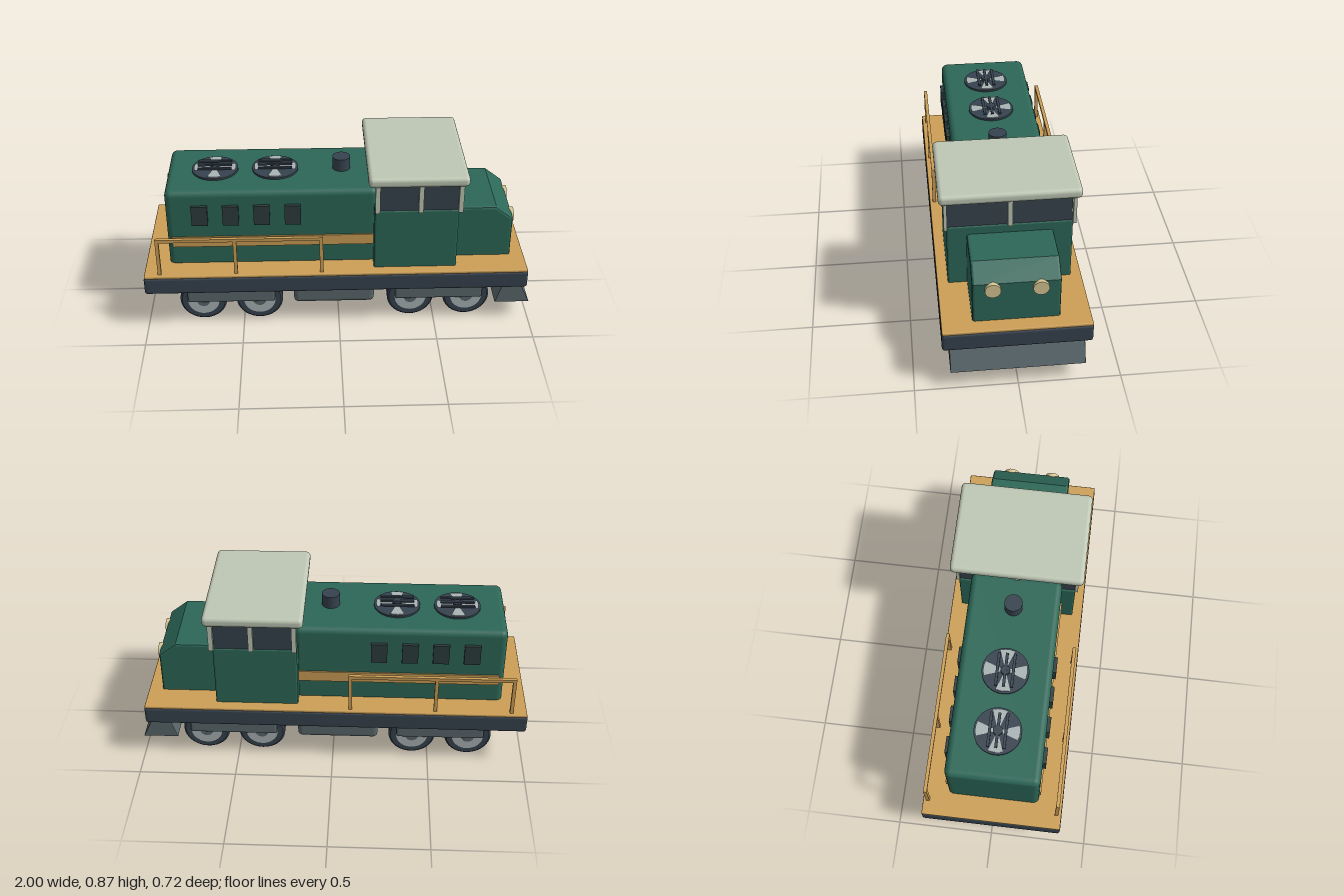
import * as THREE from 'three';
import { RoundedBoxGeometry } from 'three/addons/geometries/RoundedBoxGeometry.js';

const mat = (name, color) => {
  const m = new THREE.MeshStandardMaterial({ color });
  m.name = name;
  return m;
};

export function createModel() {
  const green = mat('body green', 0x2c6757);
  const ochre = mat('deck ochre', 0xcc9f56);
  const navy = mat('frame navy', 0x36424e);
  const glass = mat('window glass', 0x37434d);
  const cream = mat('roof cream', 0xbec7b4);
  const grey = mat('iron grey', 0x5a676b);
  const steel = mat('light steel', 0xaab4b5);
  const lamp = mat('lamp yellow', 0xd6c693);
  const vent = mat('vent dark', 0x2d3c3d);

  const model = new THREE.Group();
  model.name = 'locomotive';

  const add = (name, geo, material, x = 0, y = 0, z = 0, parent = model) => {
    const m = new THREE.Mesh(geo, material);
    m.name = name;
    m.position.set(x, y, z);
    parent.add(m);
    return m;
  };
  // Box given by its limits on x, y and z, with optional rounded edges
  const box = (name, material, x0, x1, y0, y1, z0, z1, r = 0, parent = model) => {
    const size = [x1 - x0, y1 - y0, z1 - z0];
    const geo = r ? new RoundedBoxGeometry(...size, 3, r) : new THREE.BoxGeometry(...size);
    return add(name, geo, material, (x0 + x1) / 2, (y0 + y1) / 2, (z0 + z1) / 2, parent);
  };
  // Side profile in x and y, extruded across z with a small bevel
  const profile = (name, material, pts, halfWidth, bevel) => {
    const shape = new THREE.Shape(pts.map(p => new THREE.Vector2(...p)));
    const geo = new THREE.ExtrudeGeometry(shape, {
      depth: 2 * (halfWidth - bevel), bevelEnabled: bevel > 0,
      bevelThickness: bevel, bevelSize: bevel, bevelOffset: -bevel, bevelSegments: 2,
    });
    geo.translate(0, 0, -(halfWidth - bevel));
    return add(name, geo, material);
  };

  // Underframe, deck, fuel tank and plough
  box('underframe', navy, -1, 0.975, 0.215, 0.312, -0.36, 0.36, 0.014);
  box('deck', ochre, -0.997, 0.972, 0.308, 0.325, -0.358, 0.358, 0.006);
  box('fuelTank', grey, -0.235, 0.185, 0.1, 0.225, -0.3, 0.3, 0.025);
  profile('plough', grey, [[0.82, 0.1], [1, 0.1], [0.942, 0.225], [0.858, 0.225]], 0.325, 0.004);

  // Long engine hood
  box('hood', green, -0.875, 0.2, 0.3, 0.747, -0.235, 0.235, 0.032);

  // Cab: lower body, glazed band, pillars and roof
  box('cab', green, 0.18, 0.605, 0.315, 0.662, -0.305, 0.305, 0.01);
  box('cabGlass', glass, 0.188, 0.6, 0.655, 0.82, -0.3, 0.3);
  for (const x of [0.193, 0.41, 0.61])
    for (const s of [-1, 1])
      box('cabPillar', cream, x - 0.012, x + 0.012, 0.655, 0.82, s * 0.309 - 0.008, s * 0.309 + 0.008);
  for (const x of [0.185, 0.61])
    box('centrePillar', cream, x - 0.012, x + 0.012, 0.662, 0.82, -0.012, 0.012);
  box('cabRoof', cream, 0.145, 0.645, 0.81, 0.865, -0.341, 0.341, 0.022);

  // Short nose with sloping front edge, and headlights
  profile('nose', green, [[0.59, 0.31], [0.9, 0.31], [0.9, 0.545], [0.81, 0.615], [0.59, 0.615]], 0.21, 0.012);
  for (const s of [-1, 1]) {
    const geo = new THREE.CylinderGeometry(0.038, 0.038, 0.025, 28);
    geo.rotateZ(-Math.PI / 2);
    add('headlight', geo, lamp, 0.903, 0.513, s * 0.113);
  }

  // Hood sides: stripe, vents and handrails
  for (const s of [-1, 1]) {
    const side = new THREE.Group();
    side.name = s > 0 ? 'leftSide' : 'rightSide';
    model.add(side);
    const plate = (name, m, x0, x1, y0, y1, zc, half) =>
      box(name, m, x0, x1, y0, y1, s * zc - half, s * zc + half, 0, side);
    plate('stripe', ochre, -0.85, 0.18, 0.428, 0.486, 0.238, 0.0045);
    for (let i = 0; i < 4; i++) {
      const x = -0.703 + i * 0.157;
      plate('vent', vent, x - 0.041, x + 0.041, 0.56, 0.67, 0.242, 0.01);
    }
    plate('handrail', ochre, -0.926, -0.081, 0.518, 0.535, 0.333, 0.009);
    for (const x of [-0.917, -0.527, -0.09])
      plate('railPost', ochre, x - 0.009, x + 0.009, 0.32, 0.53, 0.333, 0.009);
  }

  // Roof fans: dark ring, pale blades and slats above
  for (const x of [-0.63, -0.32]) {
    const fan = new THREE.Group();
    fan.name = 'roofFan';
    fan.position.set(x, 0.745, 0);
    model.add(fan);
    add('fanBase', new THREE.CylinderGeometry(0.119, 0.119, 0.02, 36), navy, 0, 0.002, 0, fan);
    for (let i = 0; i < 4; i++) {
      const blade = new THREE.CylinderGeometry(0.108, 0.108, 0.006, 6, 1, false, i * Math.PI / 2 - 0.34, 0.68);
      add('fanBlade', blade, steel, 0, 0.014, 0, fan);
    }
    add('fanHub', new THREE.CylinderGeometry(0.024, 0.024, 0.022, 20), navy, 0, 0.018, 0, fan);
    for (const z of [-0.04, 0, 0.04])
      box('fanSlat', navy, -0.087, 0.087, 0.024, 0.033, z - 0.007, z + 0.007, 0, fan);
  }
  add('exhaustStack', new THREE.CylinderGeometry(0.046, 0.046, 0.08, 28), navy, 0.022, 0.773, 0);

  // Wheel trucks: axles, wheels with pale discs, and side frames
  const disc = (name, r, len, m, x, z, parent) => {
    const geo = new THREE.CylinderGeometry(r, r, len, 36);
    geo.rotateX(Math.PI / 2);
    return add(name, geo, m, x, 0.122, z, parent);
  };
  const tyre = new THREE.LatheGeometry(
    [[0, -0.035], [0.112, -0.035], [0.122, -0.025], [0.122, 0.025], [0.112, 0.035], [0, 0.035]]
      .map(p => new THREE.Vector2(...p)), 36).toNonIndexed();
  tyre.computeVertexNormals();
  tyre.rotateX(Math.PI / 2);
  for (const cx of [-0.5625, 0.5235]) {
    const truck = new THREE.Group();
    truck.name = 'wheelTruck';
    truck.position.x = cx;
    model.add(truck);
    for (const x of [-0.147, 0.147]) {
      disc('axle', 0.028, 0.5, navy, x, 0, truck);
      for (const s of [-1, 1]) {
        add('wheel', tyre, navy, x, 0.122, s * 0.25, truck);
        disc('wheelDisc', 0.082, 0.01, steel, x, s * 0.285, truck);
        disc('wheelHub', 0.034, 0.014, grey, x, s * 0.287, truck);
      }
    }
    for (const s of [-1, 1])
      box('sideFrame', grey, -0.228, 0.228, 0.122, 0.203, s * 0.297 - 0.014, s * 0.297 + 0.014, 0.012, truck);
  }
  return model;
}
